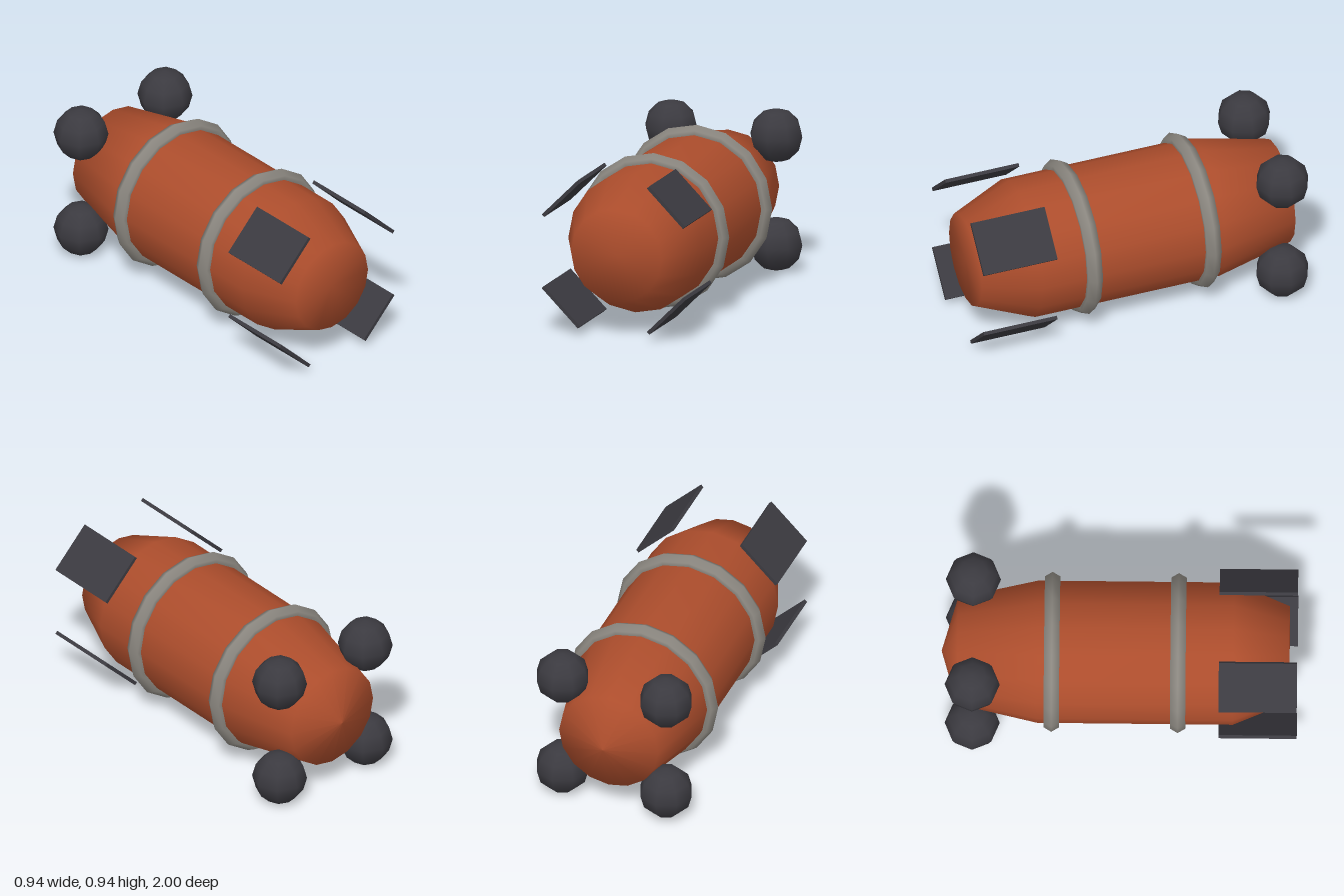
import * as THREE from 'three';

export function createModel() {
  const model = new THREE.Group();
  model.name = 'capsule';
  const orange = new THREE.MeshStandardMaterial({ name: 'rust orange', color: 0xac4d2c });
  const grey = new THREE.MeshStandardMaterial({ name: 'warm grey', color: 0x8b8780 });
  const dark = new THREE.MeshStandardMaterial({ name: 'charcoal', color: 0x3b3a40 });
  const axisY = 0.47;

  function add(name, geometry, material, x, y, z) {
    const mesh = new THREE.Mesh(geometry, material);
    mesh.name = name;
    mesh.position.set(x, y, z);
    model.add(mesh);
    return mesh;
  }

  // Hull: pointed tail at the back, blunt nose at the front
  const profile = [[0, -1], [0.3, -0.91], [0.4, -0.46], [0.4, 0.64], [0.27, 0.955], [0, 0.955]]
    .map(([r, z]) => new THREE.Vector2(r, z));
  add('hull', new THREE.LatheGeometry(profile, 16).rotateX(Math.PI / 2), orange, 0, axisY, 0);

  // Bands around the hull
  const band = new THREE.TorusGeometry(0.4, 0.05, 6, 16);
  add('frontBand', band, grey, 0, axisY, 0.33);
  add('rearBand', band, grey, 0, axisY, -0.38);

  // Four diagonal pairs: a ball at the back and a flat panel at the front
  const ball = new THREE.SphereGeometry(0.155, 8, 6);
  const panel = new THREE.BoxGeometry(0.305, 0.02, 0.44);
  for (const [sx, side] of [[1, 'Left'], [-1, 'Right']]) {
    for (const [sy, level] of [[1, 'upper'], [-1, 'lower']]) {
      const x = sx * 0.314, y = axisY + sy * 0.314;
      add(`${level}${side}Ball`, ball, dark, x, y, -0.825);
      add(`${level}${side}Panel`, panel, dark, x, y, 0.78).rotation.z = -sx * sy * Math.PI / 4;
    }
  }
  return model;
}
